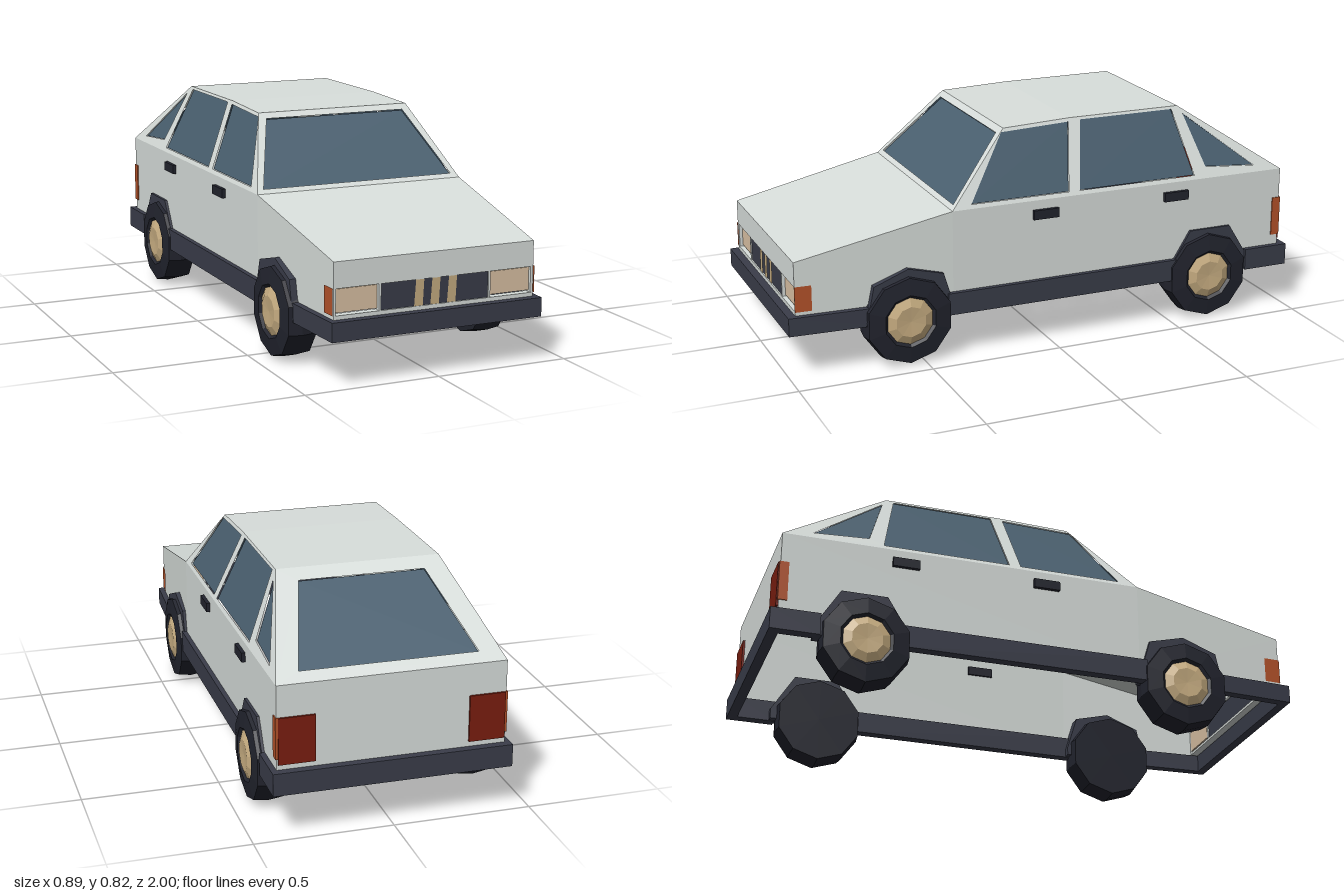
import * as THREE from 'three';

const mat = (color) => new THREE.MeshStandardMaterial({ color, flatShading: true, side: THREE.DoubleSide });
const paint = mat(0xd9dfdc), trim = mat(0x3a3d4a), glass = mat(0x4a6070), tyreMat = mat(0x22242e);
const gold = mat(0xc8ae82), lamp = mat(0xdcc3a5), red = mat(0x7a1e10), orange = mat(0xb5532a);

const lerp = THREE.MathUtils.lerp;
const ramp = (v, a, b, from, to) => lerp(from, to, (v - a) / (b - a));
const toShape = (pts) => new THREE.Shape(pts.map(([a, b]) => new THREE.Vector2(a, b)));

export function createModel() {
  const car = new THREE.Group();
  car.name = 'car';

  const add = (name, geo, material) => {
    const mesh = new THREE.Mesh(geo, material);
    mesh.name = name;
    car.add(mesh);
    return mesh;
  };
  // box given by its minimum and maximum corners
  const box = (name, material, [x0, y0, z0], [x1, y1, z1]) => {
    const geo = new THREE.BoxGeometry(Math.abs(x1 - x0), y1 - y0, Math.abs(z1 - z0));
    return add(name, geo.translate((x0 + x1) / 2, (y0 + y1) / 2, (z0 + z1) / 2), material);
  };
  // flat outline with holes, laid into space by place(a, b) -> [x, y, z]
  const panel = (name, material, outline, holes, place) => {
    const shape = toShape(outline);
    holes.forEach((h) => shape.holes.push(toShape(h)));
    const geo = new THREE.ShapeGeometry(shape);
    const p = geo.attributes.position;
    for (let i = 0; i < p.count; i++) p.setXYZ(i, ...place(p.getX(i), p.getY(i)));
    geo.computeVertexNormals();
    return add(name, geo, material);
  };
  // symmetric sheet through rows of [halfWidth, y, z]
  const sheet = (name, rows) => {
    const geo = new THREE.PlaneGeometry(1, 1, 1, rows.length - 1);
    rows.forEach(([x, y, z], i) => {
      geo.attributes.position.setXYZ(2 * i, -x, y, z);
      geo.attributes.position.setXYZ(2 * i + 1, x, y, z);
    });
    geo.computeVertexNormals();
    return add(name, geo, paint);
  };
  const trapezoid = (x0, y0, x1, y1) => [[-x0, y0], [x0, y0], [x1, y1], [-x1, y1]];

  // body shape rules: cabin side, windscreen and rear slope
  const sideX = (y) => ramp(y, 0.555, 0.82, 0.41, 0.3);
  const screenZ = (y) => ramp(y, 0.555, 0.81, 0.385, 0.145);
  const rearZ = (y) => ramp(y, 0.555, 0.82, -0.97, -0.57);

  // roof and bonnet
  sheet('roof', [[0.3, 0.82, -0.57], [0.3, 0.82, -0.12], [sideX(0.81), 0.81, 0.145]]);
  sheet('bonnet', [[0.41, 0.555, 0.385], [0.383, 0.435, 0.97]]);
  sheet('tailPanel', [[0.41, 0.555, -0.97], [0.41, 0.2, -0.97]]);

  // windscreen and rear window
  const screen = trapezoid(0.38, 0.57, 0.28, 0.79);
  panel('windscreenFrame', paint, trapezoid(0.41, 0.555, sideX(0.81), 0.81), [screen],
    (x, y) => [x, y, screenZ(y)]);
  panel('windscreen', glass, screen, [], (x, y) => [x, y - 0.004, screenZ(y) - 0.004]);
  const rear = trapezoid(0.32, 0.582, 0.23, 0.788);
  panel('rearWindowFrame', paint, trapezoid(0.41, 0.555, 0.3, 0.82), [rear], (x, y) => [x, y, rearZ(y)]);
  panel('rearWindow', glass, rear, [], (x, y) => [x, y - 0.004, rearZ(y) + 0.004]);

  // nose with a recess for the grille and headlights
  const nose = 0.97;
  const recess = [[-0.378, 0.25], [0.378, 0.25], [0.378, 0.343], [-0.378, 0.343]];
  panel('nosePanel', paint, trapezoid(0.383, 0.2, 0.383, 0.435), [recess], (x, y) => [x, y, nose]);
  box('recessFloor', paint, [-0.38, 0.24, 0.94], [0.38, 0.25, nose - 0.001]);
  box('recessTop', paint, [-0.38, 0.343, 0.94], [0.38, 0.35, nose - 0.001]);
  box('grille', trim, [-0.206, 0.25, 0.945], [0.206, 0.343, 0.964]);
  for (const x of [-0.062, 0, 0.064]) {
    panel('grilleStripe', gold, [[x - 0.019, 0.25], [x + 0.014, 0.25], [x + 0.019, 0.343], [x - 0.012, 0.343]], [],
      (a, b) => [a, b, 0.967]);
  }

  const sideWindows = [
    [[0.31, 0.57], [0.155, 0.797], [-0.115, 0.807], [-0.075, 0.57]],
    [[-0.12, 0.57], [-0.163, 0.81], [-0.543, 0.81], [-0.597, 0.57]],
    [[-0.65, 0.595], [-0.588, 0.79], [-0.855, 0.58]],
  ];
  const archFront = [[0.72, 0.17], [0.69, 0.315], [0.56, 0.365], [0.425, 0.33], [0.385, 0.2], [0.385, 0.17]];
  const archRear = [[-0.49, 0.17], [-0.49, 0.21], [-0.58, 0.355], [-0.75, 0.355], [-0.84, 0.21], [-0.84, 0.17]];

  // tyre and hub turned around the axle: [radius, distance outward]
  const turn = (pts) => new THREE.LatheGeometry(pts.map(([r, d]) => new THREE.Vector2(r, d)), 10, Math.PI / 2)
    .rotateZ(-Math.PI / 2);
  const tyreGeo = turn([[0, 0.328], [0.163, 0.328], [0.17, 0.385], [0.163, 0.434], [0.1, 0.442], [0.088, 0.432], [0, 0.432]]);
  const hubGeo = turn([[0.092, 0.432], [0.058, 0.446], [0, 0.442]]);

  for (const s of [1, -1]) {
    const side = s > 0 ? 'left' : 'right';

    // cabin side with its windows
    panel(side + 'CabinSide', paint,
      [[0.385, 0.555], [0.145, 0.81], [-0.12, 0.82], [-0.57, 0.82], [-0.97, 0.555]], sideWindows,
      (z, y) => [s * sideX(y), y, z]);
    sideWindows.forEach((w) => panel(side + 'SideWindow', glass, w, [],
      (z, y) => [s * (sideX(y) - 0.005), y, z]));

    // lower side and tapering front wing
    panel(side + 'LowerSide', paint, [[0.385, 0.2], [0.385, 0.555], [-0.97, 0.555], [-0.97, 0.2]], [],
      (z, y) => [s * 0.41, y, z]);
    const wingX = (z) => ramp(z, 0.385, 0.97, 0.41, 0.383);
    panel(side + 'FrontWing', paint, [[0.385, 0.2], [0.97, 0.2], [0.97, 0.435], [0.385, 0.555]], [],
      (z, y) => [s * wingX(z), y, z]);

    // lights
    box(side + 'Headlight', lamp, [s * 0.216, 0.256, 0.94], [s * 0.374, 0.338, 0.956]);
    box(side + 'HeadlightInnerPost', paint, [s * 0.206, 0.25, 0.94], [s * 0.214, 0.343, 0.968]);
    box(side + 'HeadlightOuterPost', paint, [s * 0.374, 0.25, 0.94], [s * 0.382, 0.343, 0.968]);
    panel(side + 'FrontIndicator', orange, [[0.91, 0.25], [0.972, 0.25], [0.972, 0.345], [0.91, 0.345]], [],
      (z, y) => [s * (wingX(z) + 0.004), y, z]);
    box(side + 'TailLight', red, [s * 0.275, 0.27, -0.965], [s * 0.405, 0.44, -0.978]);
    box(side + 'RearSideMarker', orange, [s * 0.4, 0.29, -0.94], [s * 0.414, 0.44, -0.974]);

    // door handles and sill
    for (const z of [0.022, -0.515]) {
      box(side + 'DoorHandle', tyreMat, [s * 0.402, 0.485, z - 0.05], [s * 0.424, 0.52, z + 0.05]);
    }
    box(side + 'Sill', trim, [s * 0.39, 0.167, -0.53], [s * 0.428, 0.25, 0.41]);

    // wheel arches and wheels
    for (const [end, z, arch] of [['Front', 0.56, archFront], ['Rear', -0.655, archRear]]) {
      const geo = new THREE.ExtrudeGeometry(toShape(arch), { depth: 0.055, bevelEnabled: false });
      geo.rotateY(-Math.PI / 2).scale(1, 1, 1); // outline runs along z, depth along -x
      const archMesh = add(side + end + 'WheelArch', geo, trim);
      archMesh.position.x = s > 0 ? 0.42 : -0.365;

      const wheel = new THREE.Group();
      wheel.name = side + end + 'Wheel';
      const tyre = new THREE.Mesh(tyreGeo, tyreMat), hub = new THREE.Mesh(hubGeo, gold);
      tyre.name = 'tyre';
      hub.name = 'hub';
      wheel.add(tyre, hub);
      wheel.position.set(0, 0.172, z);
      wheel.rotation.y = s > 0 ? 0 : Math.PI;
      car.add(wheel);
    }
  }

  // bumpers: U-shaped in plan, wrapping round the corners
  const bumper = (name, plan, bottom, top) => {
    const geo = new THREE.ExtrudeGeometry(toShape(plan), { depth: top - bottom, bevelEnabled: false });
    add(name, geo.rotateX(Math.PI / 2).translate(0, top, 0), trim);
  };
  const mirrored = (half) => [...half, ...half.map(([x, z]) => [-x, z]).reverse()];
  const join = (outer, inner) => [...mirrored(outer), ...mirrored(inner).reverse()];
  bumper('frontBumper', join([[0.42, 0.68], [0.402, 1]], [[0.385, 0.68], [0.37, 0.965]]), 0.168, 0.236);
  bumper('rearBumper', join([[0.43, -0.82], [0.43, -1]], [[0.39, -0.82], [0.39, -0.962]]), 0.168, 0.25);

  return car;
}
